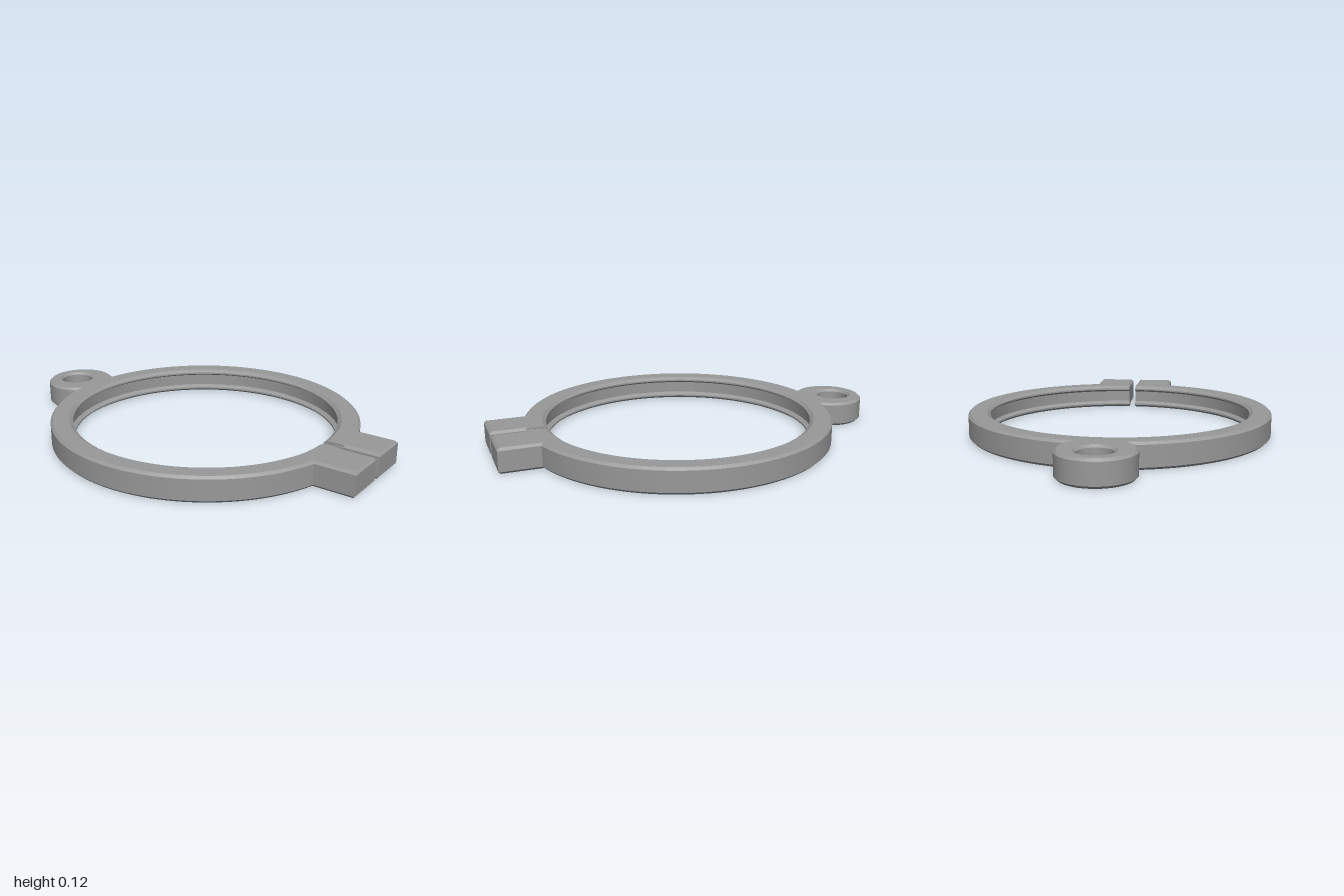
import * as THREE from 'three';
import { toCreasedNormals } from 'three/addons/utils/BufferGeometryUtils.js';

const HEIGHT = 0.125, BEVEL = 0.012, RING_Z = 0.055, SLIT_ANGLE = 0.026;

export function createModel() {
  const group = new THREE.Group();
  const metal = new THREE.MeshStandardMaterial({ color: 0x999999 });
  metal.name = 'grey metal';
  metal.side = THREE.DoubleSide;

  const add = (name, geometry, parent = group) => {
    const mesh = new THREE.Mesh(toCreasedNormals(geometry, 0.4), metal);
    mesh.name = name;
    parent.add(mesh);
    return mesh;
  };

  // Plate standing on y = 0 with bevelled edges; shape y runs towards -z
  const plate = (shape) => {
    const geometry = new THREE.ExtrudeGeometry(shape, {
      depth: HEIGHT - 2 * BEVEL, bevelEnabled: true, bevelSegments: 1,
      bevelSize: BEVEL, bevelThickness: BEVEL, bevelOffset: -BEVEL, curveSegments: 48,
    });
    return geometry.rotateX(-Math.PI / 2).translate(0, BEVEL, 0);
  };

  // Split ring: bevelled outside, shallow channel with two lips inside
  const profile = [
    [0.685, 0], [0.765, 0], [0.777, BEVEL], [0.777, HEIGHT - BEVEL], [0.765, HEIGHT],
    [0.685, HEIGHT], [0.666, 0.112], [0.666, 0.104], [0.688, 0.092], [0.688, 0.033],
    [0.666, 0.021], [0.666, 0.013], [0.685, 0],
  ].map(([r, y]) => new THREE.Vector2(r, y));
  const ring = new THREE.Group();
  ring.name = 'splitRing';
  ring.position.z = RING_Z;
  group.add(ring);
  add('ringBody', new THREE.LatheGeometry(profile, 128, SLIT_ANGLE, 2 * Math.PI - 2 * SLIT_ANGLE), ring);

  // Cut faces of the ring and the clamping ears, one per side of the slit
  for (const side of [1, -1]) {
    const label = side > 0 ? 'left' : 'right';
    const cap = new THREE.ShapeGeometry(new THREE.Shape(profile.slice(0, -1)));
    add(label + 'SlitFace', cap.rotateY(side * SLIT_ANGLE - Math.PI / 2), ring);

    const a = side > 0 ? 0.018 : -0.22, b = side > 0 ? 0.22 : -0.018;
    const ear = new THREE.Shape([[a, -1], [b, -1], [b, -0.752], [a, -0.752]]
      .map(([x, y]) => new THREE.Vector2(x, y)));
    add(label + 'ClampEar', plate(ear));
  }

  // Rear eyelet with an off-centre hole
  const eyelet = new THREE.Shape().absarc(0, 0.822, 0.178, 0, Math.PI * 2);
  eyelet.holes.push(new THREE.Path().absarc(0, 0.852, 0.083, 0, Math.PI * 2, true));
  add('rearEyelet', plate(eyelet));

  return group;
}
